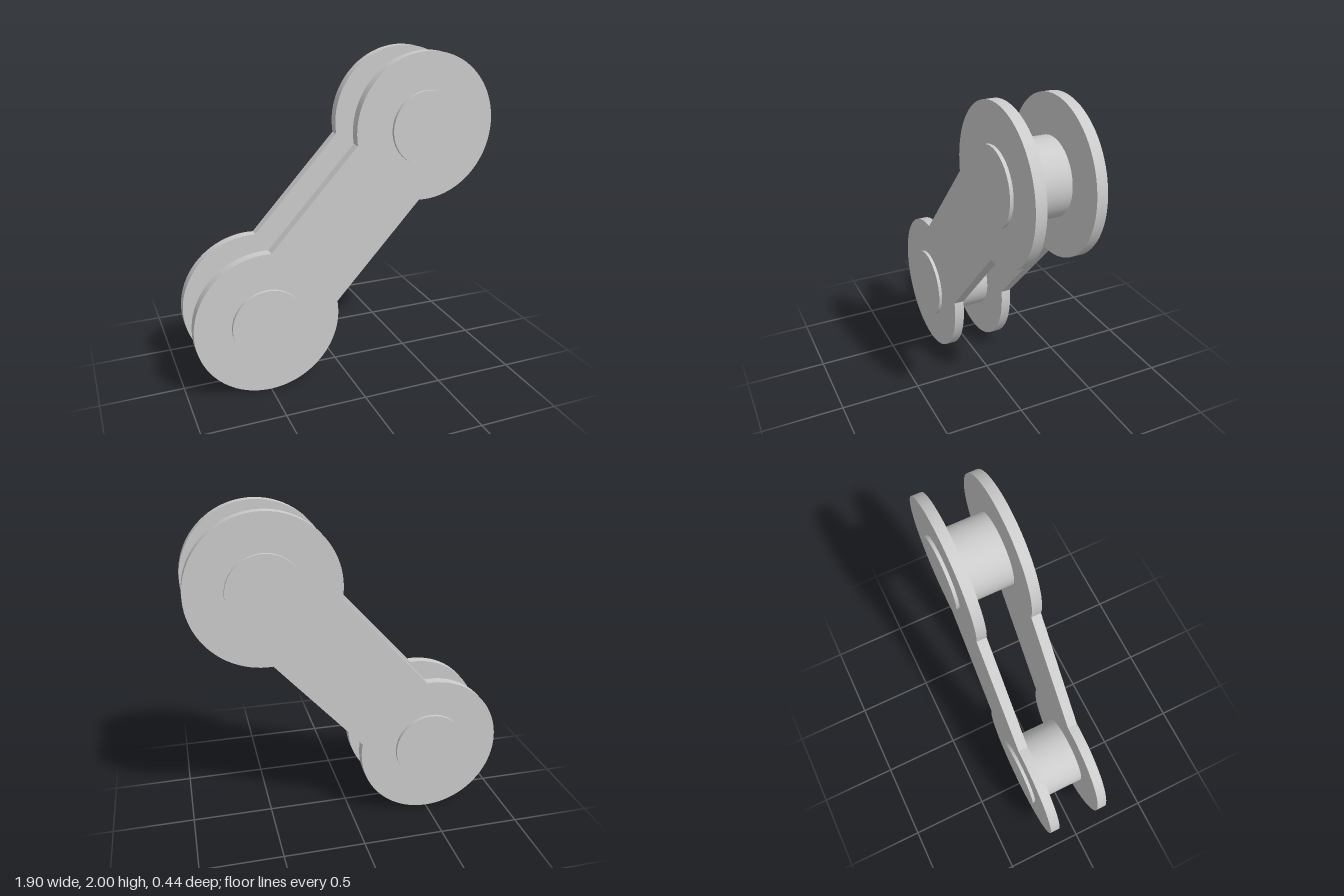
import * as THREE from 'three';
import { toCreasedNormals } from 'three/addons/utils/BufferGeometryUtils.js';

export function createModel() {
  const group = new THREE.Group();
  const material = new THREE.MeshStandardMaterial({ color: 0xcccccc });

  const cx = 0.504, cy = 0.553; // pin centres, measured from the middle of the link
  const endRadius = 0.447, pinRadius = 0.223, neckHalf = 0.278;
  const inner = 0.138, thickness = 0.062, pinLength = 0.44;

  // Dumbbell outline: two round ends joined by a straight neck
  const tilt = Math.atan2(cy, cx);
  const open = Math.asin(neckHalf / endRadius);
  const outline = new THREE.Shape();
  outline.absarc(cx, cy, endRadius, tilt - Math.PI + open, tilt + Math.PI - open, false);
  outline.absarc(-cx, -cy, endRadius, tilt + open, tilt + 2 * Math.PI - open, false);
  outline.closePath();

  const plateGeometry = toCreasedNormals(
    new THREE.ExtrudeGeometry(outline, { depth: thickness, bevelEnabled: false, curveSegments: 32 }),
    Math.PI / 6
  );

  // Front and back side plates
  for (const [name, z] of [['frontPlate', inner], ['backPlate', -inner - thickness]]) {
    const plate = new THREE.Mesh(plateGeometry, material);
    plate.name = name;
    plate.position.set(0, 1, z);
    group.add(plate);
  }

  // Pins through both plates, standing slightly proud of them
  const pinGeometry = new THREE.CylinderGeometry(pinRadius, pinRadius, pinLength, 40);
  pinGeometry.rotateX(Math.PI / 2);
  for (const [name, s] of [['upperPin', 1], ['lowerPin', -1]]) {
    const pin = new THREE.Mesh(pinGeometry, material);
    pin.name = name;
    pin.position.set(s * cx, 1 + s * cy, 0);
    group.add(pin);
  }

  return group;
}
